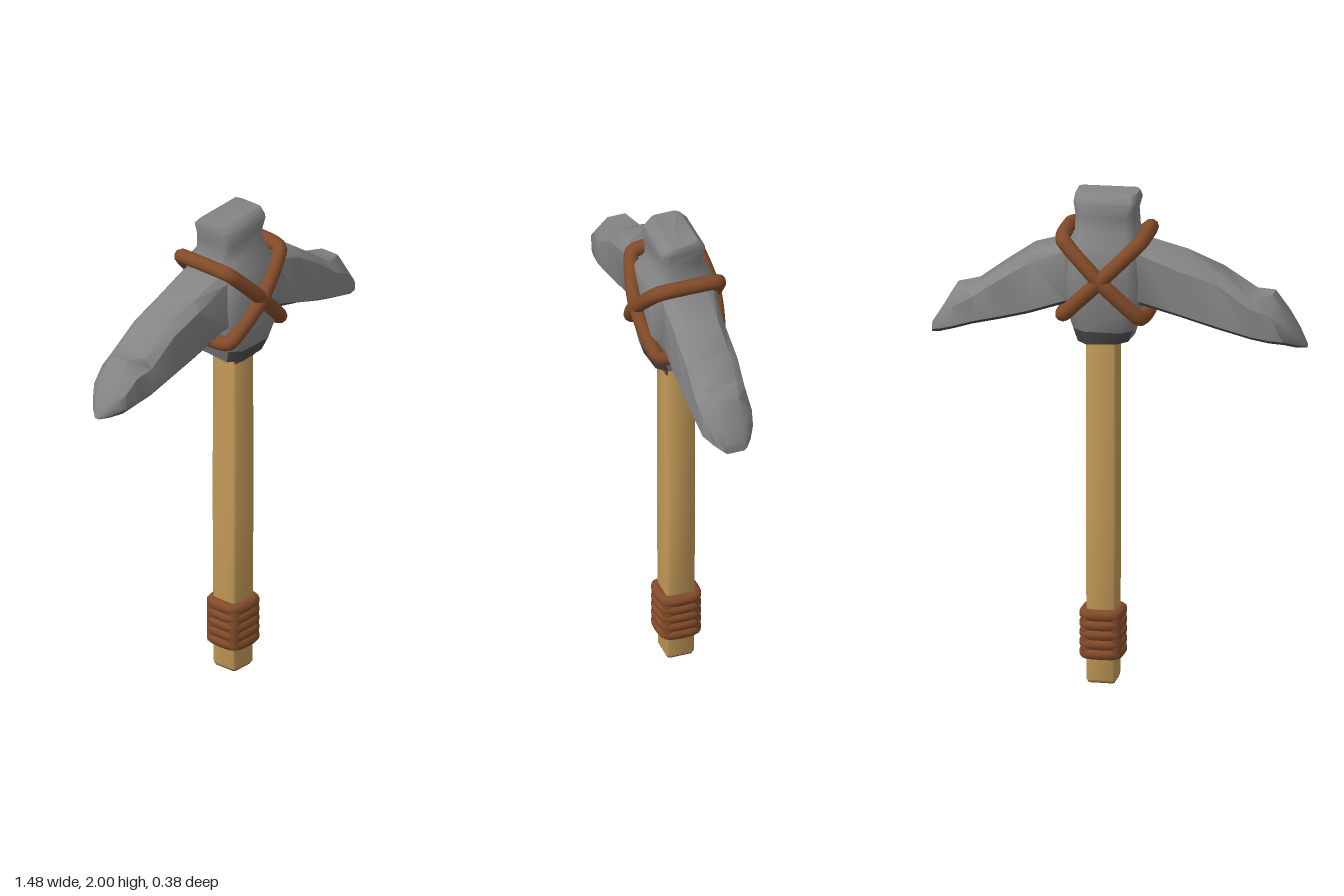
import * as THREE from 'three';
import { toCreasedNormals } from 'three/addons/utils/BufferGeometryUtils.js';

const mat = (name, color) => Object.assign(new THREE.MeshStandardMaterial({ color }), { name });

// Rough stone: shift a point by waves that depend on its position
function rough([x, y, z], amount) {
  const wave = (k) => Math.sin(x * 41 * k + y * 57 + z * 83 + k * 9) * amount;
  return [x + wave(1), y + wave(2), z + wave(3)];
}

// Eight-sided section from p0..p1 and q0..q1; cHigh and cLow chamfer the two p ends
function octagon(p0, p1, q0, q1, cHigh, cLow = cHigh) {
  return [
    [p1 - cHigh, q1], [p0 + cLow, q1], [p0, q1 - cLow], [p0, q0 + cLow],
    [p0 + cLow, q0], [p1 - cHigh, q0], [p1, q0 + cHigh], [p1, q1 - cHigh],
  ];
}

// Skin a list of equal-length rings and cap both ends.
// Faces picked by isUnder(row, column) go to the second material; row -1 is the first cap
function loft(rings, crease, isUnder = () => false) {
  const n = rings[0].length, faces = [[], []];
  const put = (row, col, ...ids) => faces[isUnder(row, col) ? 1 : 0].push(...ids);
  for (let i = 0; i < rings.length - 1; i++) {
    for (let j = 0; j < n; j++) {
      const a = i * n + j, b = i * n + (j + 1) % n;
      put(i, j, a, b, b + n, a, b + n, a + n);
    }
  }
  const last = (rings.length - 1) * n;
  for (let j = 1; j < n - 1; j++) {
    put(-1, 0, 0, j + 1, j);
    put(rings.length, 0, last, last + j, last + j + 1);
  }
  const g = new THREE.BufferGeometry();
  g.setAttribute('position', new THREE.Float32BufferAttribute(rings.flat(2), 3));
  g.setIndex(faces.flat());
  const creased = toCreasedNormals(g, crease);
  creased.clearGroups();
  creased.addGroup(0, faces[0].length, 0);
  creased.addGroup(faces[0].length, faces[1].length, 1);
  return creased;
}

// Closed rope through a loop of points
function rope(points, radius, segments) {
  const curve = new THREE.CatmullRomCurve3(points.map((p) => new THREE.Vector3(...p)), true, 'centripetal');
  return new THREE.TubeGeometry(curve, segments, radius, 10, true);
}

export function createModel() {
  const model = new THREE.Group();
  const stone = mat('grey stone', 0x858585);
  const darkStone = mat('dark stone', 0x4c4c4c);
  const wood = mat('light wood', 0xc69c59);
  const cord = mat('brown cord', 0x824b29);
  const add = (name, geometry, material, parent = model) => {
    const mesh = new THREE.Mesh(geometry, material);
    mesh.name = name;
    parent.add(mesh);
    return mesh;
  };

  // Square section centred on the handle axis
  const squareRing = (y, w, c) =>
    octagon(-w, w, 0.069 - w, 0.069 + w, c).map(([z, x]) => [x, y, z]);

  // Wooden handle with worn corners and a dark end
  add('handle', loft([
    squareRing(0.004, 0.053, 0.008), squareRing(0.012, 0.057, 0.008),
    squareRing(0.7, 0.06, 0.008), squareRing(1.5, 0.059, 0.008),
  ], 0.88), wood);
  add('handleEnd', loft([squareRing(0, 0.052, 0.008), squareRing(0.006, 0.053, 0.008)], 0.5), cord);

  // Cord binding tucked under the head
  add('headBinding', new THREE.BoxGeometry(0.114, 0.06, 0.008).translate(0.069, 1.39, 0.058), cord);

  // Grip of five stacked cord turns over a core
  const grip = new THREE.Group();
  grip.name = 'grip';
  model.add(grip);
  add('gripCore', loft([squareRing(0.11, 0.079, 0.016), squareRing(0.29, 0.079, 0.016)], 0.9), cord, grip);
  const turn = octagon(-0.062, 0.062, -0.061, 0.061, 0.014);
  for (let i = 0; i < 5; i++) {
    add('gripTurn', rope(turn.map(([z, x]) => [x + 0.07, 0.122 + i * 0.039, z]), 0.024, 40), cord, grip);
  }

  // Stone head block: y, x range, half depth, chamfer; dark around the foot
  const block = [
    [1.397, -0.04, 0.155, 0.105, 0.04],
    [1.45, -0.065, 0.175, 0.128, 0.045],
    [1.54, -0.09, 0.2, 0.135, 0.04],
    [1.66, -0.095, 0.205, 0.14, 0.04],
    [1.79, -0.09, 0.195, 0.133, 0.04],
    [1.85, -0.063, 0.167, 0.098, 0.03],
    [1.91, -0.065, 0.168, 0.09, 0.025],
    [1.965, -0.071, 0.174, 0.088, 0.02],
    [1.996, -0.066, 0.17, 0.056, 0.012],
  ].map(([y, x0, x1, d, c]) => octagon(-d, d, x0, x1, c).map(([z, x]) => rough([x, y, z], 0.004)));
  const foot = (row, col) => row === -1 || (row === 0 && col !== 0 && col !== 4);
  add('headBlock', loft(block, 0.95, foot), [stone, darkStone]);

  // Stone arms: x, bottom, top, half depth, upper chamfer; dark undersides
  const underside = (row, col) => row >= 0 && col >= 1 && col <= 3;
  const arm = (rows) => loft(rows.map(([x, y0, y1, d, c]) =>
    octagon(y0, y1, -d, d, c, Math.min(0.014, (y1 - y0) * 0.3))
      .map(([y, z]) => rough([x, y, z], Math.abs(x) > 0.7 ? 0 : 0.004))), 0.75, underside);
  add('rightArm', arm([
    [-0.74, 1.403, 1.413, 0.012, 0.003],
    [-0.705, 1.408, 1.475, 0.052, 0.02],
    [-0.66, 1.42, 1.545, 0.08, 0.04],
    [-0.605, 1.435, 1.615, 0.097, 0.06],
    [-0.53, 1.45, 1.61, 0.103, 0.035],
    [-0.4, 1.485, 1.7, 0.104, 0.04],
    [-0.25, 1.52, 1.75, 0.104, 0.035],
    [-0.1, 1.56, 1.795, 0.106, 0.03],
    [0.05, 1.56, 1.8, 0.106, 0.03],
  ]), [stone, darkStone]);
  add('leftArm', arm([
    [0.05, 1.56, 1.8, 0.106, 0.03],
    [0.2, 1.55, 1.795, 0.106, 0.03],
    [0.35, 1.505, 1.745, 0.105, 0.035],
    [0.47, 1.47, 1.665, 0.105, 0.035],
    [0.57, 1.443, 1.595, 0.105, 0.035],
    [0.65, 1.42, 1.575, 0.1, 0.06],
    [0.705, 1.4, 1.485, 0.075, 0.03],
    [0.74, 1.39, 1.43, 0.048, 0.012],
  ]), [stone, darkStone]);

  // Two tilted cord loops crossing front and back
  const lashing = new THREE.Group();
  lashing.name = 'lashing';
  model.add(lashing);
  const half = [[-0.157, 0.09], [-0.15, 0.122], [-0.125, 0.135], [0, 0.16], [0.125, 0.135], [0.15, 0.122], [0.157, 0.09]];
  const loop = [...half, ...half.map(([x, z]) => [x, -z]).reverse()];
  for (const side of [1, -1]) {
    add('lashingLoop', rope(loop.map(([x, z]) => [0.055 + x, 1.668 + side * x, z]), 0.03, 80), cord, lashing);
  }
  return model;
}
